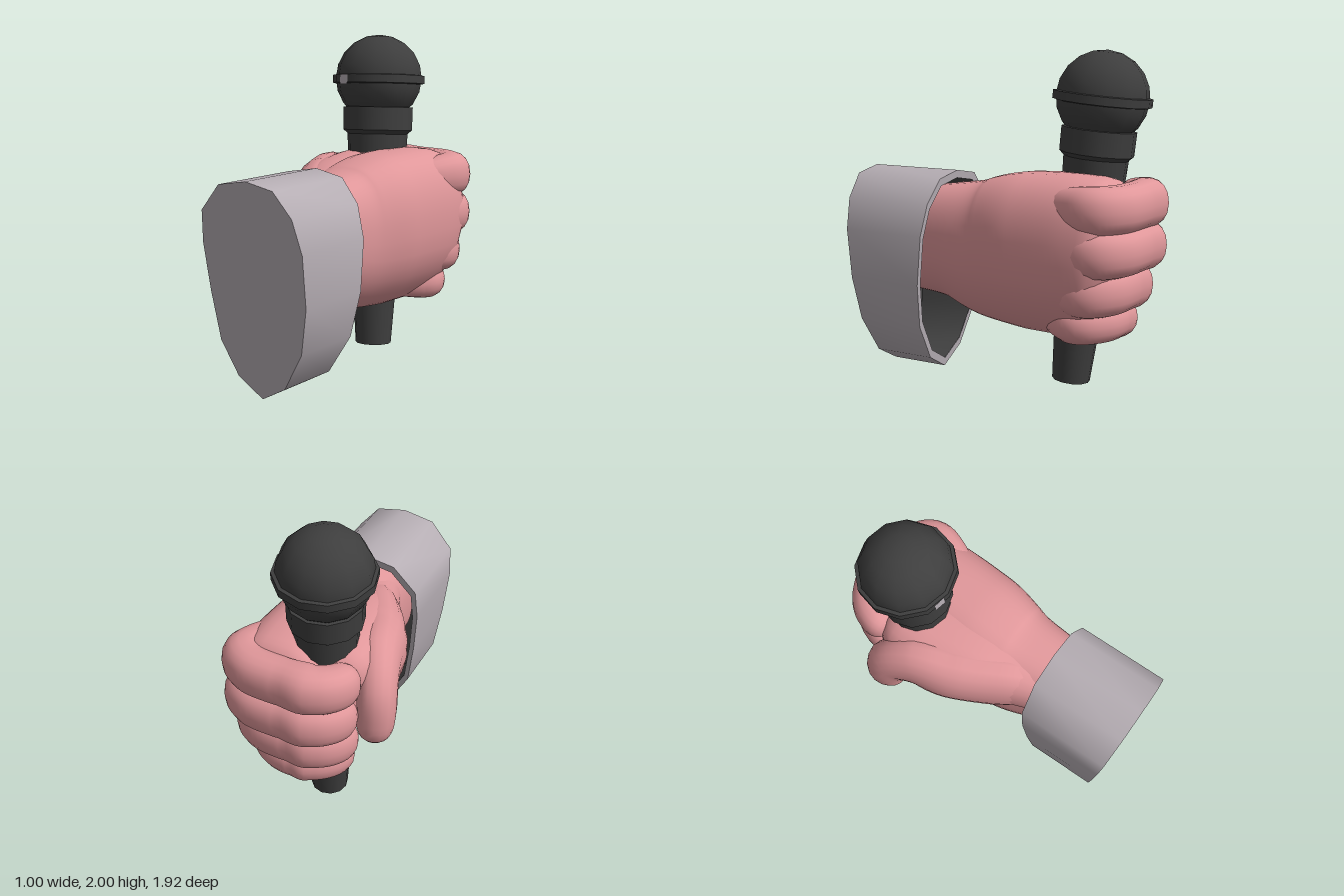
import * as THREE from 'three';

const mat = (name, color, side = THREE.FrontSide) => {
  const m = new THREE.MeshStandardMaterial({ color, side });
  m.name = name;
  return m;
};

export function createModel() {
  const skin = mat('skin', 0xe0979a);
  const sleeve = mat('sleeve grey', 0xb6aeb4, THREE.DoubleSide);
  const black = mat('microphone black', 0x3e3e3e);
  const lining = mat('sleeve lining', 0x454545, THREE.DoubleSide);

  const model = new THREE.Group();
  const add = (parent, name, geometry, material) => {
    const mesh = new THREE.Mesh(geometry, material);
    mesh.name = name;
    parent.add(mesh);
  };

  // Smooth limb: each path entry is [x, y, z, radius along up, radius sideways]
  function limb(path, up, { steps = 28, segs = 18, power = 1, round = 0.1 } = {}) {
    const centre = new THREE.CatmullRomCurve3(path.map(p => new THREE.Vector3(p[0], p[1], p[2])));
    const radii = new THREE.CatmullRomCurve3(path.map(p => new THREE.Vector3(p[3], p[4], 0)));
    const pos = [], idx = [];
    const bend = v => Math.sign(v) * Math.pow(Math.abs(v), power);
    for (let i = 0; i <= steps; i++) {
      const t = i / steps;
      const c = centre.getPoint(t), r = radii.getPoint(t), tan = centre.getTangent(t);
      const s = tan.clone().cross(up).normalize();
      const u = s.clone().cross(tan);
      const e = Math.max(0, (t - 1 + round) / round);
      const k = Math.max(0.02, Math.sqrt(Math.max(0, 1 - e * e)));
      for (let j = 0; j < segs; j++) {
        const a = j / segs * Math.PI * 2;
        const p = c.clone().addScaledVector(s, bend(Math.cos(a)) * r.y * k)
          .addScaledVector(u, bend(Math.sin(a)) * r.x * k);
        pos.push(p.x, p.y, p.z);
        if (i < steps) {
          const n = (j + 1) % segs, A = i * segs + j, B = i * segs + n;
          idx.push(A, A + segs, B, B, A + segs, B + segs);
        }
      }
    }
    const g = new THREE.BufferGeometry();
    g.setAttribute('position', new THREE.Float32BufferAttribute(pos, 3));
    g.setIndex(idx);
    g.computeVertexNormals();
    return g;
  }

  // ---- Hand ----
  const hand = new THREE.Group();
  hand.name = 'hand';
  model.add(hand);
  const Y = new THREE.Vector3(0, 1, 0);

  // Sections along z, as [z, xMin, xMax, yMin, yMax]
  const sections = rows => rows.map(([z, x0, x1, y0, y1]) =>
    [(x0 + x1) / 2, (y0 + y1) / 2, z, (y1 - y0) / 2, (x1 - x0) / 2]);

  const palm = limb(sections([
    [0.62, -0.10, 0.36, 0.50, 1.13],
    [0.34, -0.12, 0.39, 0.47, 1.19],
    [0.08, -0.18, 0.43, 0.37, 1.242],
    [-0.20, -0.21, 0.485, 0.335, 1.292],
    [-0.50, -0.20, 0.50, 0.33, 1.30],
    [-0.87, -0.16, 0.47, 0.36, 1.25],
  ]), Y, { power: 0.78, segs: 40, steps: 44, round: 0.1 });
  // The little-finger side is narrower and its knuckles sit further forward
  const pp = palm.attributes.position;
  for (let i = 0; i < pp.count; i++) {
    const low = THREE.MathUtils.clamp((0.85 - pp.getY(i)) / 0.5, 0, 1);
    if (pp.getX(i) > 0) pp.setX(i, pp.getX(i) * (1 - 0.25 * low * low));
    if (pp.getZ(i) < -0.4) pp.setZ(i, -0.4 + (pp.getZ(i) + 0.4) * (1 - 0.32 * low));
  }
  palm.computeVertexNormals();
  add(hand, 'palm', palm, skin);

  // Flesh between the palm and the thumb
  add(hand, 'thumbWeb', limb(sections([
    [0.40, -0.10, 0.22, 0.72, 1.12],
    [0.10, -0.22, 0.24, 0.72, 1.20],
    [-0.15, -0.34, 0.22, 0.78, 1.26],
    [-0.42, -0.37, 0.18, 0.84, 1.28],
    [-0.70, -0.32, 0.14, 0.90, 1.26],
  ]), Y, { power: 0.85, segs: 24, round: 0.15 }), skin);

  // Four curled fingers, as [name, y, half height, z shift, tip x shift, knuckle x shift]
  for (const [name, y, h, dz, dx, kx] of [
    ['indexFinger', 1.125, 0.14, 0, -0.03, 0],
    ['middleFinger', 0.88, 0.14, 0, -0.01, 0],
    ['ringFinger', 0.645, 0.138, 0.07, 0.02, -0.025],
    ['littleFinger', 0.445, 0.115, 0.14, 0.08, -0.09],
  ]) {
    const path = [
      [0.24 + kx, y - 0.01, -0.32, h * 0.5, 0.06],
      [0.345 + kx, y, -0.58 + dz * 0.6, h * 0.9, 0.12],
      [0.365 + kx, y, -0.72 + dz, h, 0.132],
      [0.28 + kx, y, -0.80 + dz, h, 0.128],
      [0.08, y, -0.825 + dz, h, 0.125],
      [-0.10 + dx, y, -0.815 + dz, h, 0.125],
      [-0.195 + dx, y - 0.01, -0.73 + dz, h * 0.97, 0.115],
      [-0.225 + dx, y - 0.02, -0.58 + dz, h * 0.85, 0.10],
    ];
    add(hand, name, limb(path, Y, { steps: 42, power: 0.88 }), skin);
  }

  // Thumb, leaving the wrist and folding down against the fingertips
  add(hand, 'thumb', limb([
    [0.06, 0.90, 0.32, 0.14, 0.20],
    [-0.09, 0.95, 0.08, 0.16, 0.26],
    [-0.22, 1.01, -0.16, 0.17, 0.24],
    [-0.30, 1.05, -0.36, 0.145, 0.20],
    [-0.365, 0.99, -0.49, 0.12, 0.155],
    [-0.385, 0.85, -0.54, 0.115, 0.13],
    [-0.365, 0.65, -0.54, 0.105, 0.115],
  ], new THREE.Vector3(-1, 0, 0.35).normalize(), { steps: 36, power: 0.92 }), skin);

  // ---- Sleeve cuff, with ends leaning towards each other at the bottom ----
  const cuff = new THREE.Group();
  cuff.name = 'cuff';
  model.add(cuff);
  const outline = [
    [0.12, 0.005], [0.29, 0.10], [0.43, 0.33], [0.485, 0.60], [0.485, 0.90], [0.43, 1.09], [0.31, 1.23],
    [0.12, 1.265], [-0.08, 1.23], [-0.225, 1.07], [-0.237, 0.88], [-0.21, 0.60], [-0.165, 0.31], [-0.05, 0.11],
  ].map(p => new THREE.Vector2(...p));
  const inner = outline.map(p => new THREE.Vector2(0.12 + (p.x - 0.12) * 0.91, 0.66 + (p.y - 0.66) * 0.92));
  const cuffZ = (y, t) => THREE.MathUtils.lerp(0.45 - 0.087 * y, 0.83 + 0.099 * y, t);

  function cuffWall(points, t0, t1) {
    const n = points.length, g = new THREE.CylinderGeometry(1, 1, 1, n, 1, true);
    const p = g.attributes.position;
    for (let i = 0; i < p.count; i++) {
      const v = points[i % (n + 1) % n];
      p.setXYZ(i, v.x, v.y, cuffZ(v.y, i <= n ? t1 : t0));
    }
    g.computeVertexNormals();
    return g;
  }
  function cuffFace(points, t, hole) {
    const shape = new THREE.Shape(points);
    if (hole) shape.holes.push(new THREE.Path(hole));
    const g = new THREE.ShapeGeometry(shape), p = g.attributes.position;
    for (let i = 0; i < p.count; i++) p.setZ(i, cuffZ(p.getY(i), t));
    g.computeVertexNormals();
    return g;
  }
  add(cuff, 'cuffWall', cuffWall(outline, 0, 1), sleeve);
  add(cuff, 'cuffFrontFace', cuffFace(outline, 1), sleeve);
  add(cuff, 'cuffRim', cuffFace(outline, 0, inner), sleeve);
  add(cuff, 'cuffLining', cuffWall(inner, 0.002, 0.85), lining);
  add(cuff, 'cuffLiningEnd', cuffFace(inner, 0.85), lining);

  // ---- Microphone, built upright and then leaned ----
  const mic = new THREE.Group();
  mic.name = 'microphone';
  mic.position.set(0.005, 0.02, -0.395);
  mic.quaternion.setFromUnitVectors(Y, new THREE.Vector3(-0.08, 1.71, -0.155).normalize());
  model.add(mic);
  const lathe = pts => new THREE.LatheGeometry(pts.map(p => new THREE.Vector2(...p)), 12);
  add(mic, 'handle', lathe([[0.115, 0], [0.137, 0.32], [0.19, 1.27], [0.195, 1.37]]), black);
  add(mic, 'handleEnd', new THREE.CircleGeometry(0.115, 12).rotateX(Math.PI / 2), black);
  add(mic, 'handleEndPatch', new THREE.CircleGeometry(0.07, 5).rotateX(Math.PI / 2).translate(0, -0.002, 0), skin);
  add(mic, 'collarTaper', lathe([[0.19, 1.355], [0.222, 1.385]]), black);
  add(mic, 'collar', lathe([[0.222, 1.385], [0.224, 1.53]]), black);
  add(mic, 'collarTop', lathe([[0.224, 1.53], [0.17, 1.535]]), black);
  add(mic, 'grille', new THREE.SphereGeometry(0.277, 12, 10).translate(0, 1.715, 0), black);
  add(mic, 'bandLowerEdge', lathe([[0.26, 1.675], [0.295, 1.682]]), black);
  add(mic, 'band', lathe([[0.295, 1.682], [0.295, 1.732]]), black);
  add(mic, 'bandUpperEdge', lathe([[0.295, 1.732], [0.26, 1.738]]), black);
  add(mic, 'bandBadge',
    new THREE.CylinderGeometry(0.292, 0.292, 0.06, 1, 1, true, -0.355, 0.24).translate(0, 1.7, 0), sleeve);

  return model;
}
